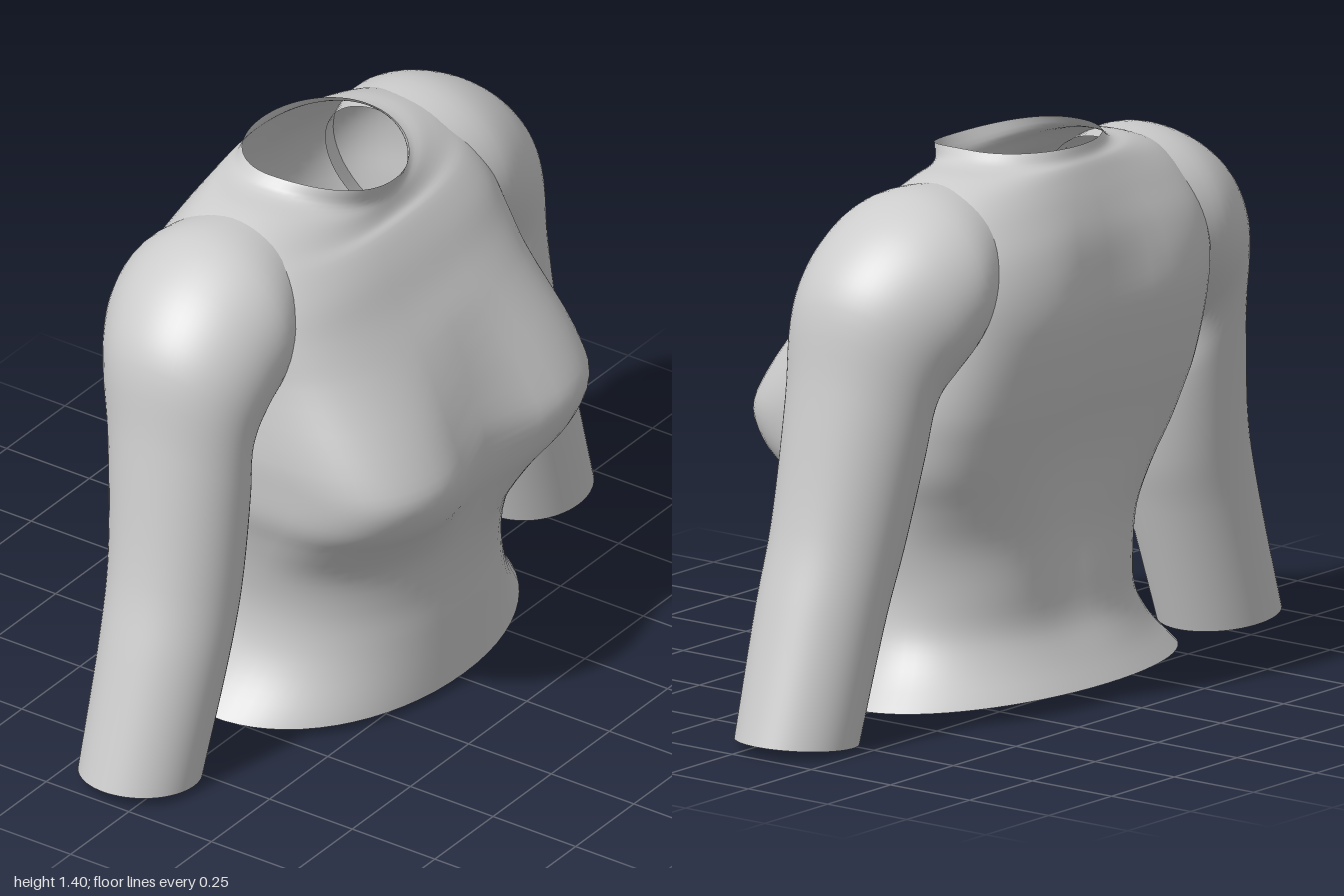
import * as THREE from 'three';

const COLS = 64;
const { smoothstep } = THREE.MathUtils;
const bump = (v, centre, width) => Math.exp(-(((v - centre) / width) ** 2));
const power = (v, n) => Math.sign(v) * Math.abs(v) ** (2 / n);
const ring = fn => Array.from({ length: COLS }, (_, i) => fn(i / COLS * Math.PI * 2));

// Smooth open tube through closed rings of points, listed bottom to top
function loft(rings, rows) {
  const pos = [], idx = [];
  const columns = rings[0].map((_, i) =>
    new THREE.CatmullRomCurve3(rings.map(r => r[i]), false, 'centripetal'));
  for (let j = 0; j <= rows; j++) {
    for (const c of columns) pos.push(...c.getPoint(j / rows).toArray());
  }
  for (let j = 0; j < rows; j++) {
    for (let i = 0; i < COLS; i++) {
      const a = j * COLS + i, b = j * COLS + (i + 1) % COLS;
      idx.push(a, a + COLS, b, b, a + COLS, b + COLS);
    }
  }
  const g = new THREE.BufferGeometry();
  g.setAttribute('position', new THREE.Float32BufferAttribute(pos, 3));
  g.setIndex(idx);
  g.computeVertexNormals();
  return g;
}

// Torso section from half width, height, z front and z back
function torsoRing([w, h, zF, zB]) {
  const mid = (zF + zB) / 2 - 0.03;
  const squareness = 2.05 + 1.5 * smoothstep(h, 0.4, 0.75) * (1 - smoothstep(h, 1.15, 1.4));
  const bust = bump(h, 0.72, 0.17);
  const spineGroove = 0.045 * smoothstep(h, 0.05, 0.45) * (1 - smoothstep(h, 1.05, 1.33));
  const neckDrop = 0.065 * bump(h, 1.35, 0.07);
  const hemTilt = 0.015 * bump(h, 0.03, 0.06);
  return ring(a => {
    const s = Math.sin(a), front = s > 0;
    const n = squareness + (front ? 0.6 * bust : 0);
    const x = w * power(Math.cos(a), n);
    let y = h - hemTilt * s;
    let z = mid + (front ? zF - mid : mid - zB) * power(s, n);
    if (front) {
      y -= neckDrop * s * s;
      z -= 0.08 * bust * bump(x, 0, 0.16) * s;
    } else {
      z -= spineGroove * bump(x, 0, 0.14) * s;
    }
    return new THREE.Vector3(x, y, z);
  });
}

// Sleeve section from outer x, y, inner x, y, z front and z back
function sleeveRing([ox, oy, ix, iy, zF, zB], side) {
  return ring(t => {
    const a = t * side, c = Math.cos(a), s = Math.sin(a);
    return new THREE.Vector3(
      side * ((ox + ix) / 2 + (ox - ix) / 2 * c),
      (oy + iy) / 2 + (oy - iy) / 2 * c,
      (zF + zB) / 2 + (zF - zB) / 2 * s);
  });
}

// Hem, waist, bust, shoulders and collar
const TORSO = [
  [0.55, 0.03, 0.31, -0.39],
  [0.47, 0.12, 0.31, -0.345],
  [0.43, 0.20, 0.31, -0.315],
  [0.42, 0.30, 0.31, -0.315],
  [0.44, 0.42, 0.33, -0.32],
  [0.47, 0.53, 0.38, -0.33],
  [0.50, 0.62, 0.435, -0.345],
  [0.51, 0.71, 0.455, -0.37],
  [0.515, 0.80, 0.415, -0.40],
  [0.50, 1.00, 0.28, -0.445],
  [0.50, 1.10, 0.215, -0.438],
  [0.49, 1.19, 0.165, -0.41],
  [0.47, 1.27, 0.12, -0.37],
  [0.42, 1.325, 0.098, -0.342],
  [0.33, 1.36, 0.086, -0.325],
  [0.24, 1.378, 0.082, -0.312],
  [0.21, 1.405, 0.10, -0.305],
];

// Cuff up to the shoulder, ending inside the torso
const SLEEVE = [
  [1.00, 0.03, 0.68, 0.00, 0.075, -0.23],
  [0.90, 0.35, 0.575, 0.32, 0.09, -0.24],
  [0.84, 0.55, 0.53, 0.46, 0.09, -0.255],
  [0.78, 0.90, 0.495, 0.67, 0.09, -0.295],
  [0.75, 1.11, 0.50, 0.76, 0.095, -0.325],
  [0.70, 1.20, 0.50, 0.81, 0.105, -0.35],
  [0.60, 1.29, 0.49, 0.85, 0.115, -0.38],
  [0.46, 1.35, 0.46, 0.89, 0.115, -0.39],
  [0.28, 1.345, 0.38, 0.95, 0.06, -0.34],
];

export function createModel() {
  const group = new THREE.Group();
  group.name = 'shirt';
  const fabric = new THREE.MeshStandardMaterial({ color: 0xcccccc, side: THREE.DoubleSide });
  fabric.name = 'light grey fabric';

  const add = (name, geometry) => {
    const mesh = new THREE.Mesh(geometry, fabric);
    mesh.name = name;
    group.add(mesh);
  };
  add('torso', loft(TORSO.map(torsoRing), 64));
  for (const side of [1, -1]) {
    add(side > 0 ? 'leftSleeve' : 'rightSleeve',
      loft(SLEEVE.map(r => sleeveRing(r, side)), 40));
  }
  return group;
}
